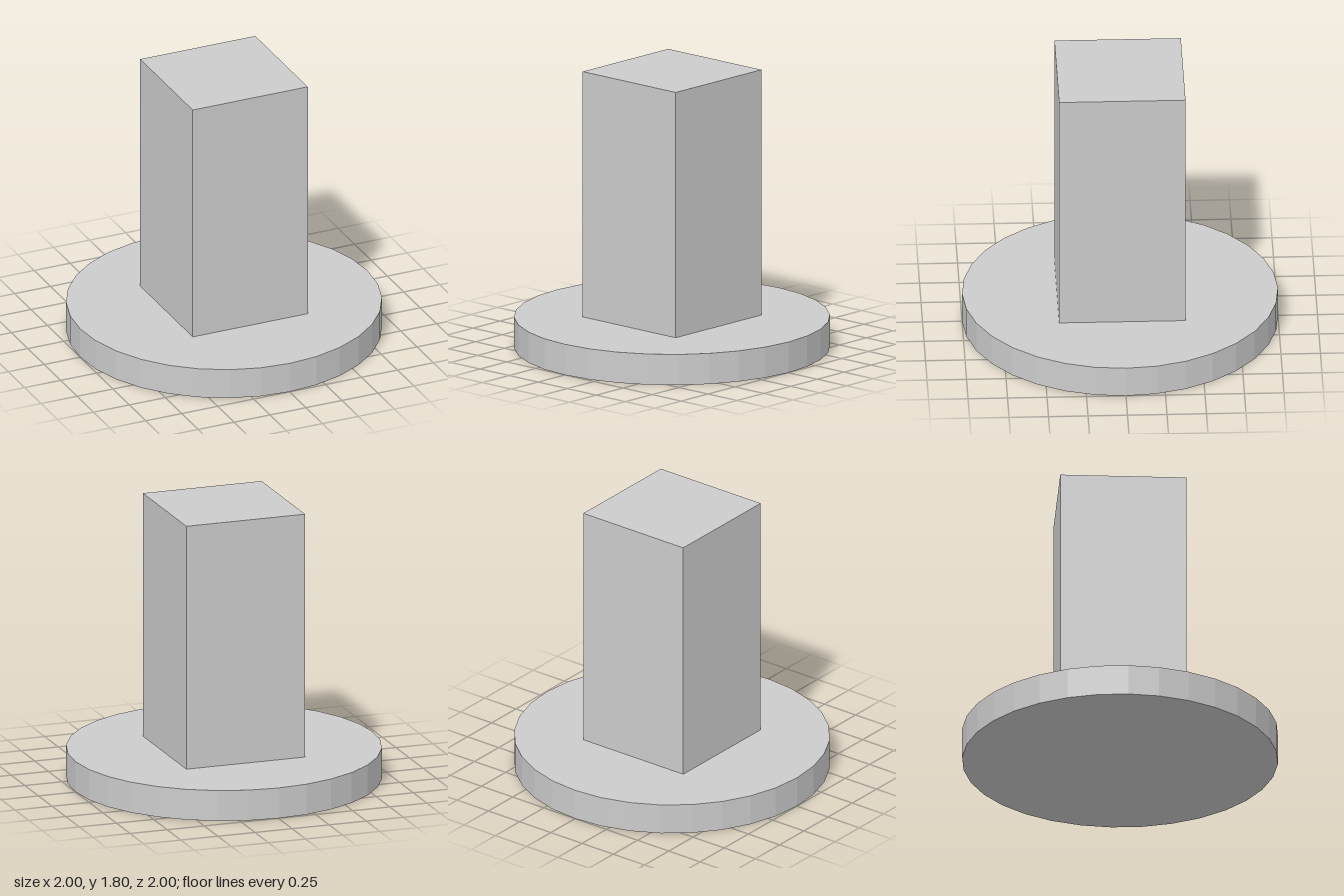
import * as THREE from 'three';

const BASE_HEIGHT = 0.2;
const COLUMN_HEIGHT = 1.6;
const COLUMN_WIDTH = 0.8;

export function createModel() {
  const group = new THREE.Group();
  group.name = 'columnOnRoundBase';
  const material = new THREE.MeshStandardMaterial({ color: 0xcccccc, flatShading: true });

  // Faceted round base
  const base = new THREE.Mesh(new THREE.CylinderGeometry(1, 1, BASE_HEIGHT, 32), material);
  base.name = 'base';
  base.position.y = BASE_HEIGHT / 2;

  // Square column standing on the base
  const column = new THREE.Mesh(new THREE.BoxGeometry(COLUMN_WIDTH, COLUMN_HEIGHT, COLUMN_WIDTH), material);
  column.name = 'column';
  column.position.y = BASE_HEIGHT + COLUMN_HEIGHT / 2;

  group.add(base, column);
  return group;
}
